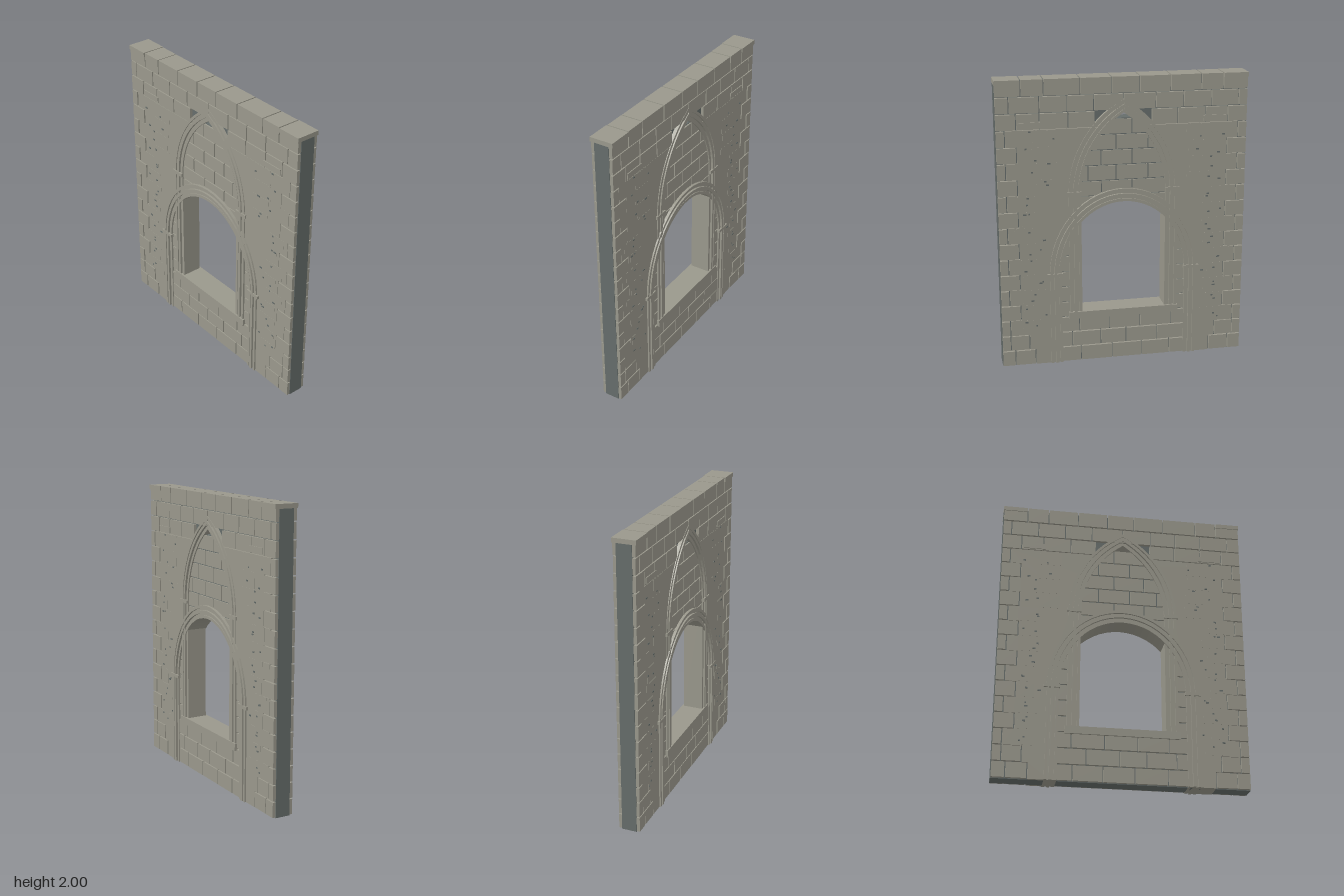
import * as THREE from 'three';

const stone = new THREE.MeshStandardMaterial({ color: 0x9a988c });
stone.name = 'stone';
const mortar = new THREE.MeshStandardMaterial({ color: 0x666d6b });
mortar.name = 'mortar';

const ROWS = 18, ROW = 2 / ROWS, GAP = 0.008, SPRING = 1.22, IMPOST = 0.65;
const lerp = THREE.MathUtils.lerp;
const v = (x, y) => new THREE.Vector2(x, y);

// Small seeded random numbers
let seed = 7;
const rand = () => (seed = (seed * 16807) % 2147483647) / 2147483647;

// Half-width of the pointed arch at height y; t runs from inner 0 to outer 1
function pointedX(y, t) {
  const w = lerp(0.29, 0.375, t), h = lerp(0.54, 0.63, t);
  const c = (w * w - h * h) / (2 * w), up = Math.max(0, y - SPRING);
  return Math.sqrt(Math.max(0, (w - c) ** 2 - up * up)) + c;
}

// Right halves of both arches, from foot to apex
function pointedHalf(t) {
  const pts = [v(pointedX(0, t), 0.37)];
  const h = lerp(0.54, 0.63, t);
  for (let i = 0; i <= 14; i++) {
    const y = SPRING + h * Math.sin((i / 14) * Math.PI / 2);
    pts.push(v(i === 14 ? 0 : pointedX(y, t), y));
  }
  return pts;
}
function roundHalf(t) {
  const a = lerp(0.43, 0.512, t), b = lerp(0.5, 0.59, t);
  const pts = [v(a, 0)];
  for (let i = 0; i <= 14; i++) {
    const k = (i / 14) * Math.PI / 2;
    pts.push(v(i === 14 ? 0 : a * Math.cos(k), IMPOST + b * Math.sin(k)));
  }
  return pts;
}
const mirrored = (half) => [...half, ...half.slice(0, -1).reverse().map((p) => v(-p.x, p.y))];

// Shape pushed through the wall, centred on z = 0
function slab(name, shape, halfDepth, material) {
  const g = new THREE.ExtrudeGeometry(shape, { depth: halfDepth * 2, bevelEnabled: false });
  g.translate(0, 0, -halfDepth);
  const m = new THREE.Mesh(g, material);
  m.name = name;
  return m;
}

// Box through the wall, given by its edges
function block(name, x0, x1, y0, y1, halfDepth, material = stone) {
  const m = new THREE.Mesh(new THREE.BoxGeometry(x1 - x0, y1 - y0, halfDepth * 2), material);
  m.position.set((x0 + x1) / 2, (y0 + y1) / 2, 0);
  m.name = name;
  return m;
}

// Course of stones between a list of joints
function course(group, name, joints, y0, y1, halfDepth) {
  for (let i = 0; i < joints.length - 1; i++) {
    group.add(block(name, joints[i] + GAP / 2, joints[i + 1] - GAP / 2,
      y0 + GAP / 2, y1 - GAP / 2, halfDepth + (i % 2) * 0.001));
  }
}

// Moulded arch: a base band with three raised ribs
function arch(name, half, extra) {
  const g = new THREE.Group();
  g.name = name;
  const profile = [[0, 1, 0.067], [0, 0.22, 0.074], [0.38, 0.62, 0.082], [0.78, 1, 0.079]];
  for (const [t0, t1, d] of profile) {
    const outline = [...mirrored(half(t1)), ...mirrored(half(t0)).reverse()];
    g.add(slab('archMoulding', new THREE.Shape(outline), d + extra, stone));
  }
  return g;
}

// Inner end of the corner stones on each row
function quoinEnd(i) {
  if (i === 0) return 0.62;
  if (i === 1) return 0.66;
  return i % 2 ? 0.715 : 0.79;
}

export function createModel() {
  const model = new THREE.Group();
  model.name = 'archedWindowWall';

  // Mortar core with the window opening and the small gap at the arch tip
  const core = new THREE.Shape([v(-0.85, 0), v(0.85, 0), v(0.85, 1.994), v(-0.85, 1.994)]);
  const opening = [v(0.3, 0.35)];
  for (let i = 0; i <= 10; i++) {
    const x = 0.3 * (1 - i / 10);
    opening.push(v(x, IMPOST + 0.51 * Math.sqrt(1 - (x / 0.438) ** 2)));
  }
  core.holes.push(new THREE.Path(mirrored(opening)));
  core.holes.push(new THREE.Path([v(-0.055, 1.72), v(0.055, 1.72), v(0, 1.785)]));
  model.add(slab('wallCore', core, 0.052, mortar));

  const stones = new THREE.Group();
  stones.name = 'stones';
  model.add(stones);

  // Coping course and the full course below it
  course(stones, 'copingStone', [-0.851, -0.68, -0.53, -0.32, -0.11, 0.08, 0.29, 0.53, 0.68, 0.851], 1.889, 2.004, 0.075);
  course(stones, 'upperStone', [-0.851, -0.79, -0.6, -0.41, -0.22, 0, 0.2, 0.38, 0.56, 0.76, 0.851], 1.778, 1.889, 0.073);

  // Courses below the sill
  [[-0.45, -0.33, -0.13, 0.08, 0.3, 0.45], [-0.45, -0.24, -0.02, 0.16, 0.36, 0.45],
    [-0.45, -0.34, -0.12, 0.1, 0.31, 0.45]].forEach((joints, i) =>
    course(stones, 'apronStone', joints, i * ROW, (i + 1) * ROW, 0.07));

  // Stones filling the pointed arch
  for (let i = 0; i < 5; i++) {
    const y1 = 1.719 - i * 0.105, y0 = y1 - 0.105;
    const w = (pointedX(y0, 0) + pointedX(y1, 1)) / 2;
    const inner = i % 2 ? [-0.17, 0.05, 0.24] : [-0.06, 0.15];
    const joints = [-w, ...inner.filter((x) => Math.abs(x) < w - 0.04), w];
    course(stones, 'infillStone', joints, y0, y1, 0.062);
  }

  for (const s of [-1, 1]) {
    const mirror = (a, b) => (s > 0 ? [a, b] : [-b, -a]);
    const add = (name, a, b, y0, y1, d) => course(stones, name, mirror(a, b), y0, y1, d);

    // Corner stones
    for (let i = 0; i < 16; i++) {
      const y0 = i * ROW, end = quoinEnd(i);
      if (i < 2) {
        add('cornerStone', 0.76 + i * 0.03, 0.851, y0, y0 + ROW, 0.074);
        add('cornerStone', end, 0.76 + i * 0.03, y0, y0 + ROW, 0.073);
      } else add('cornerStone', end, 0.851, y0, y0 + ROW, 0.074);
    }
    // Stones beside the pointed arch tip
    add('shoulderStone', 0.19, 0.37, 15 * ROW, 16 * ROW, 0.072);
    add('shoulderStone', 0.37, 0.56, 15 * ROW, 16 * ROW, 0.073);
    add('shoulderStone', 0.56, quoinEnd(15), 15 * ROW, 16 * ROW, 0.072);
    // Raised flat stones
    add('raisedStone', 0.54, 0.705, 1.675, 1.722, 0.078);
    add('raisedStone', 0.68, 0.855, 1.966, 2.004, 0.081);
    // Stones between window jamb and round arch leg
    for (let i = 3; i < 8; i++) add('jambStone', 0.355, 0.45, i * ROW, (i + 1) * ROW, 0.064);
    add('spandrelStone', 0.17, 0.345, 1.115, 1.195, 0.062);

    // Smooth facing between the corner stones and the arches
    const face = [];
    for (let i = 0; i < 15; i++) {
      face.push(v(quoinEnd(i) - GAP / 2, i * ROW), v(quoinEnd(i) - GAP / 2, (i + 1) * ROW));
    }
    for (let i = 0; i <= 8; i++) {
      const y = lerp(15 * ROW, SPRING, i / 8);
      face.push(v(pointedX(y, 0.6), y));
    }
    for (let i = 0; i <= 8; i++) {
      const x = lerp(0.333, 0.471, Math.sin((i / 8) * Math.PI / 2));
      face.push(v(x, IMPOST + 0.545 * Math.sqrt(Math.max(0, 1 - (x / 0.471) ** 2))));
    }
    face.push(v(0.471, 0));
    model.add(slab('wallFacing', new THREE.Shape(face.map((p) => v(p.x * s, p.y))), 0.07, stone));

    // Faintly raised flush stones and little chips in the facing
    for (let i = 2; i < 15; i++) {
      const y0 = i * ROW, from = y0 > 1.15 ? 0.42 : 0.54;
      const a = from + rand() * 0.06;
      add('flushStone', a, Math.min(a + 0.16, quoinEnd(i) - 0.02), y0, y0 + ROW, 0.071);
      for (let k = 0; k < 2; k++) {
        const x = s * lerp(from, 0.69, rand()), y = y0 + rand() * ROW * 0.9;
        const w = 0.005 + rand() * 0.006;
        model.add(block('chip', x - w, x + w, y, y + 0.01, 0.0735, mortar));
      }
    }

    // Imposts at the springing of both arches
    const impost = (a, b, y0, y1, d) => {
      const [x0, x1] = mirror(a, b);
      model.add(block('impost', x0, x1, y0, y1, d));
    };
    impost(0.422, 0.53, 0.638, 0.66, 0.0855);
    impost(0.289, 0.387, 1.208, 1.232, 0.082);
  }

  // Arch mouldings with their shafts
  model.add(arch('pointedArch', pointedHalf, -0.003));
  model.add(arch('roundArch', roundHalf, 0.002));

  // Window sill
  model.add(block('sill', -0.385, 0.385, 0.32, 0.371, 0.083));

  return model;
}
